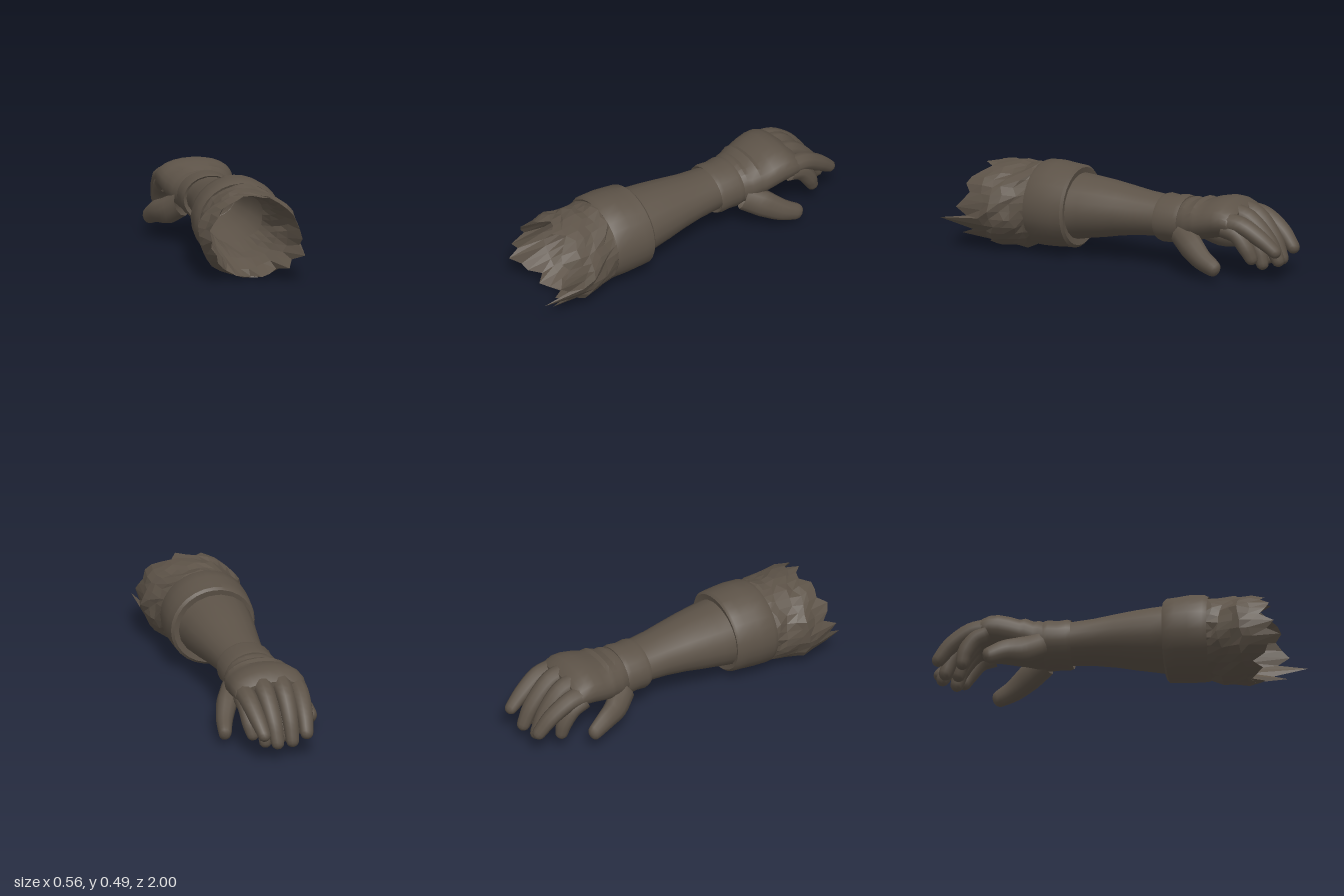
import * as THREE from 'three';
import { toCreasedNormals } from 'three/addons/utils/BufferGeometryUtils.js';

const V = (x, y, z) => new THREE.Vector3(x, y, z);

// Repeatable pseudo-random numbers
function seeded(seed) {
  let s = seed;
  return () => (s = (s * 16807) % 2147483647) / 2147483647;
}

// Skin a surface over rings of points; crease 0 gives flat facets
function loft(rings, crease, capEnd = false) {
  const n = rings[0].length, pos = [], idx = [];
  rings.forEach((r) => r.forEach((p) => pos.push(p.x, p.y, p.z)));
  for (let j = 0; j < rings.length - 1; j++) {
    for (let i = 0; i < n; i++) {
      const a = j * n + i, b = j * n + (i + 1) % n;
      idx.push(a, b + n, b, a, a + n, b + n);
    }
  }
  if (capEnd) {
    const base = (rings.length - 1) * n, k = rings.length * n;
    const c = rings[rings.length - 1].reduce((s, p) => s.add(p), V(0, 0, 0)).divideScalar(n);
    pos.push(c.x, c.y, c.z);
    for (let i = 0; i < n; i++) idx.push(k, base + (i + 1) % n, base + i);
  }
  const g = new THREE.BufferGeometry();
  g.setAttribute('position', new THREE.Float32BufferAttribute(pos, 3));
  g.setIndex(idx);
  if (crease) return toCreasedNormals(g, crease);
  const flat = g.toNonIndexed();
  flat.computeVertexNormals();
  return flat;
}

// Rounded ring across the arm: [z, left x, right x, bottom y, top y], power below 1 squares it
function ring([z, x0, x1, y0, y1], n = 24, power = 1) {
  const bend = (v) => Math.sign(v) * Math.abs(v) ** power;
  return Array.from({ length: n }, (_, i) => {
    const t = (i / n) * Math.PI * 2;
    return V((x0 + x1) / 2 + (x1 - x0) / 2 * bend(Math.cos(t)),
      (y0 + y1) / 2 + (y1 - y0) / 2 * bend(Math.sin(t)), z);
  });
}

// Finger along a path of [x, y, z, radius] with a rounded tip; tall deepens its section
function finger(path, tall = 1, n = 10) {
  const curve = new THREE.CatmullRomCurve3(path.map((p) => V(p[0], p[1], p[2])));
  const steps = 12, rings = [];
  const add = (c, dir, r) => {
    const side = V(1, 0, 0).addScaledVector(dir, -dir.x).normalize();
    const up = side.clone().cross(dir);
    rings.push(Array.from({ length: n }, (_, i) => {
      const t = (i / n) * Math.PI * 2;
      return c.clone().addScaledVector(side, r * Math.cos(t)).addScaledVector(up, r * tall * Math.sin(t));
    }));
  };
  for (let k = 0; k <= steps; k++) {
    const f = (k / steps) * (path.length - 1), i = Math.min(Math.floor(f), path.length - 2);
    add(curve.getPoint(k / steps), curve.getTangent(k / steps),
      THREE.MathUtils.lerp(path[i][3], path[i + 1][3], f - i));
  }
  const end = curve.getPoint(1), dir = curve.getTangent(1), r = path[path.length - 1][3];
  for (const a of [0.5, 0.95, 1.3]) {
    add(end.clone().addScaledVector(dir, r * Math.sin(a)), dir, r * Math.cos(a));
  }
  return loft(rings, 0.9, true);
}

// Crumpled sleeve end with a torn rim
function tornSleeve() {
  const rnd = seeded(77), n = 32;
  const rings = [
    [0.46, -0.225, 0.225, 0.04, 0.47], [0.52, -0.235, 0.23, 0.025, 0.48],
    [0.57, -0.242, 0.242, 0.005, 0.472], [0.63, -0.262, 0.258, 0.003, 0.475],
    [0.69, -0.284, 0.278, 0.003, 0.468], [0.74, -0.268, 0.268, 0.006, 0.468],
  ].map((s, j) => ring(s, n).map((p, i) => {
    const fold = 0.98 + 0.025 * Math.sin(i * 0.9 + j * 2.1) + 0.03 * (rnd() - 0.5);
    return V(p.x * fold, Math.max(0, 0.24 + (p.y - 0.24) * fold), p.z + (j ? 0.04 * (rnd() - 0.5) : 0));
  }));
  const rim = ring([0.78, -0.245, 0.245, 0.015, 0.458], n).map((p, i) => {
    const side = Math.abs(p.x) / 0.245, tooth = [-0.03, 0.01, 0.045][(i * 2) % 3];
    p.z = 0.76 + 0.06 * side + tooth * (0.4 + 0.8 * rnd());
    if (p.y < 0.06) p.z -= 0.02;
    return p;
  });
  // Longest torn points
  rim[30].set(0.237, 0.165, 1);
  rim[18].set(-0.225, 0.165, 0.9);
  [[0, 0.9], [3, 0.86], [7, 0.82], [13, 0.84], [16, 0.87], [28, 0.9]].forEach(([i, z]) => { rim[i].z = z; });
  // Lining folds in from the rim to the forearm opening
  const lining = [
    [0.68, -0.22, 0.22, 0.045, 0.44], [0.57, -0.2, 0.2, 0.075, 0.43],
    [0.45, -0.185, 0.185, 0.095, 0.425], [0.3, -0.165, 0.165, 0.12, 0.412],
  ].map((s, j) => ring(s, n).map((p, i) => {
    const fold = 0.97 + 0.04 * Math.sin(i * 0.9 + j * 2) + 0.03 * (rnd() - 0.5);
    return V(p.x * fold, 0.26 + (p.y - 0.26) * fold, p.z);
  }));
  return { outer: loft([rim, ...rings.reverse()], 0), inner: loft([...lining.reverse(), rim], 0) };
}

export function createModel() {
  const model = new THREE.Group();
  const cloth = new THREE.MeshStandardMaterial({ color: 0x5d5348, side: THREE.DoubleSide });
  cloth.name = 'dark brown cloth';
  const add = (name, geometry) => {
    const m = new THREE.Mesh(geometry, cloth);
    m.name = name;
    model.add(m);
  };

  // Sleeve
  const sleeve = tornSleeve();
  add('tornSleeve', sleeve.outer);
  add('sleeveLining', sleeve.inner);
  add('elbowCuff', loft([
    [0.5, -0.225, 0.222, 0.045, 0.468], [0.505, -0.238, 0.23, 0.036, 0.478], [0.48, -0.248, 0.238, 0.028, 0.49],
    [0.4, -0.243, 0.245, 0.03, 0.495], [0.33, -0.236, 0.248, 0.037, 0.488], [0.275, -0.226, 0.244, 0.038, 0.485],
    [0.262, -0.216, 0.23, 0.052, 0.472], [0.268, -0.19, 0.195, 0.085, 0.44],
  ].map((s) => ring(s, 28)), 0.7));
  add('forearm', loft([
    [0.3, -0.207, 0.206, 0.078, 0.444], [0.2, -0.194, 0.197, 0.098, 0.436], [0.1, -0.178, 0.184, 0.115, 0.426],
    [0, -0.16, 0.168, 0.135, 0.412], [-0.12, -0.14, 0.15, 0.15, 0.394], [-0.28, -0.127, 0.138, 0.16, 0.378],
  ].map((s) => ring(s, 18)), 0.5));

  // Wrist band
  add('wristBand', loft([
    [-0.25, -0.125, 0.135, 0.16, 0.375], [-0.238, -0.147, 0.152, 0.138, 0.388], [-0.26, -0.154, 0.157, 0.13, 0.394],
    [-0.31, -0.15, 0.155, 0.134, 0.388], [-0.36, -0.154, 0.16, 0.13, 0.396], [-0.385, -0.15, 0.157, 0.135, 0.39],
    [-0.385, -0.125, 0.13, 0.16, 0.36],
  ].map((s) => ring(s, 24)), 0.7));

  // Gloved palm with fabric folds and raised knuckles
  add('palm', loft([
    [-0.37, -0.14, 0.145, 0.145, 0.378], [-0.41, -0.158, 0.165, 0.15, 0.39], [-0.435, -0.168, 0.172, 0.155, 0.383],
    [-0.48, -0.182, 0.186, 0.17, 0.4], [-0.505, -0.188, 0.19, 0.178, 0.391], [-0.56, -0.198, 0.198, 0.19, 0.408],
    [-0.62, -0.203, 0.203, 0.205, 0.42], [-0.67, -0.205, 0.205, 0.215, 0.415], [-0.71, -0.2, 0.2, 0.22, 0.395],
    [-0.735, -0.188, 0.188, 0.235, 0.37],
  ].map((s) => ring(s, 24, 0.94)), 0.6, true));

  // Four outstretched fingers above four that curl more tightly
  [
    [[-0.145, 0.31, -0.68, 0.056], [-0.147, 0.295, -0.77, 0.051], [-0.138, 0.225, -0.88, 0.045], [-0.128, 0.15, -0.945, 0.037]],
    [[-0.06, 0.34, -0.68, 0.058], [-0.06, 0.315, -0.77, 0.052], [-0.06, 0.2, -0.87, 0.045], [-0.058, 0.1, -0.915, 0.037]],
    [[0.045, 0.34, -0.68, 0.058], [0.044, 0.32, -0.77, 0.052], [0.037, 0.205, -0.89, 0.045], [0.033, 0.11, -0.94, 0.037]],
    [[0.142, 0.31, -0.68, 0.056], [0.142, 0.3, -0.78, 0.051], [0.128, 0.235, -0.89, 0.045], [0.116, 0.175, -0.965, 0.035]],
    [[-0.15, 0.28, -0.68, 0.055], [-0.152, 0.245, -0.75, 0.05], [-0.15, 0.17, -0.8, 0.044], [-0.148, 0.115, -0.815, 0.036]],
    [[-0.055, 0.29, -0.68, 0.055], [-0.045, 0.26, -0.76, 0.05], [-0.03, 0.17, -0.83, 0.044], [-0.02, 0.105, -0.85, 0.036]],
    [[0.045, 0.29, -0.68, 0.055], [0.06, 0.26, -0.77, 0.05], [0.075, 0.17, -0.845, 0.044], [0.08, 0.095, -0.87, 0.036]],
    [[0.145, 0.28, -0.68, 0.055], [0.148, 0.255, -0.75, 0.05], [0.147, 0.18, -0.81, 0.044], [0.14, 0.13, -0.835, 0.036]],
  ].forEach((path, i) => add(i < 4 ? 'finger' + (i + 1) : 'curledFinger' + (i - 3), finger(path)));

  // A thumb on each side
  [[1, 0], [-1, 0.035]].forEach(([s, lift]) => add(s > 0 ? 'leftThumb' : 'rightThumb', finger([
    [s * 0.12, 0.215, -0.4, 0.055], [s * 0.175, 0.165, -0.49, 0.057],
    [s * 0.217, 0.11 + lift, -0.58, 0.046], [s * 0.239, 0.076 + lift, -0.66, 0.036],
  ], 1.3)));
  return model;
}
